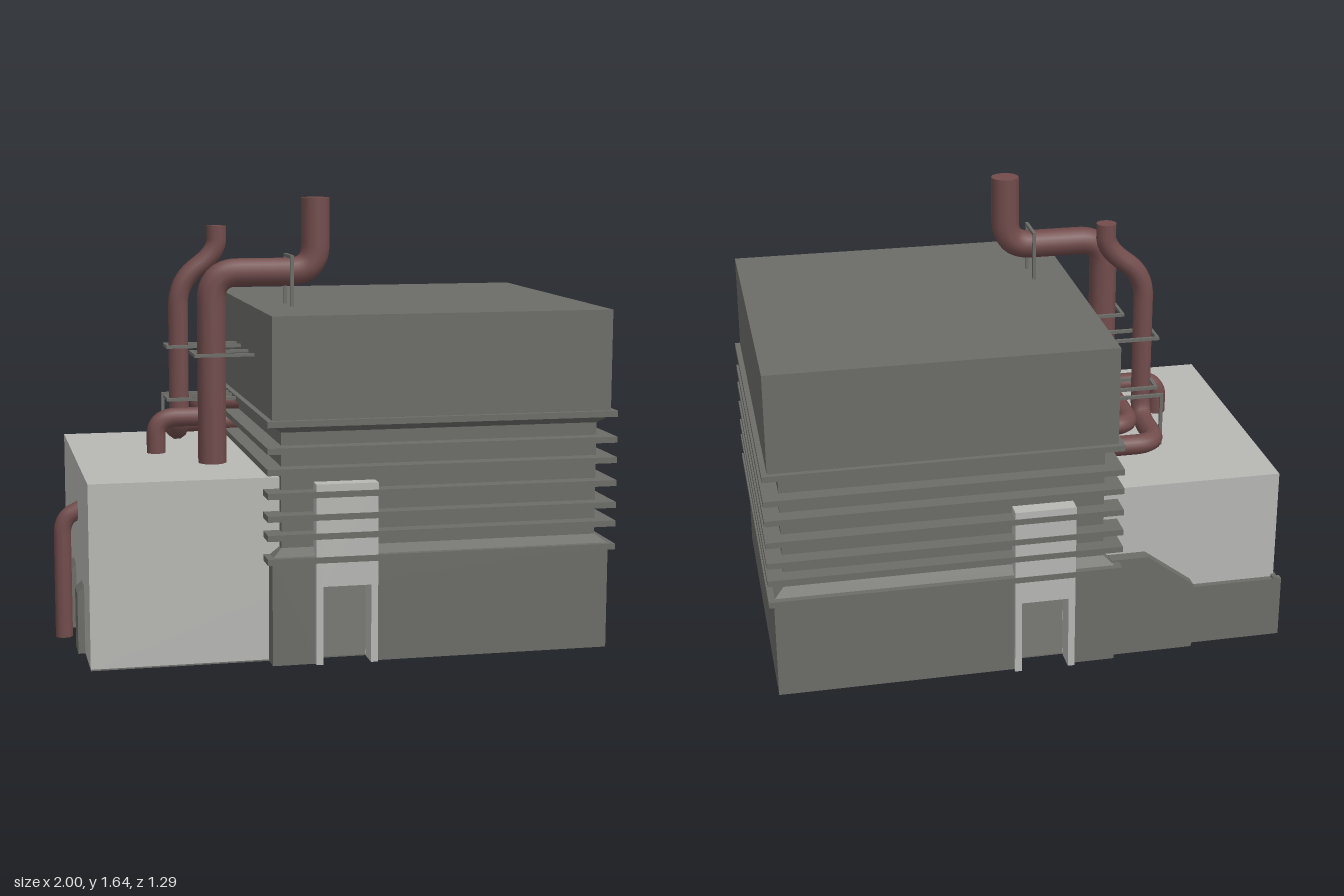
import * as THREE from 'three';
import { mergeGeometries } from 'three/addons/utils/BufferGeometryUtils.js';

const CX = 0.355;   // tower centre in x
const R = 0.625;    // tower half width

const flat = (g) => {
  const f = g.index ? g.toNonIndexed() : g;
  f.computeVertexNormals();
  return f;
};

// wall outline with a doorway cut up from the ground
function doorWall(x0, x1, h, d0, d1, dh) {
  return new THREE.Shape([
    [x0, 0], [d0, 0], [d0, dh], [d1, dh], [d1, 0], [x1, 0], [x1, h], [x0, h],
  ].map(([x, y]) => new THREE.Vector2(x, y)));
}

// pipe with rounded bends and closed ends
function pipeGeometry(points, r, bend) {
  const p = points.map((a) => new THREE.Vector3(...a));
  const path = new THREE.CurvePath();
  let last = p[0];
  for (let i = 1; i < p.length - 1; i++) {
    const cut = (q) => {
      const d = q.clone().sub(p[i]);
      return p[i].clone().addScaledVector(d.normalize(), Math.min(bend, p[i].distanceTo(q) * 0.48));
    };
    const a = cut(p[i - 1]), b = cut(p[i + 1]);
    path.add(new THREE.LineCurve3(last, a));
    path.add(new THREE.QuadraticBezierCurve3(a, p[i], b));
    last = b;
  }
  path.add(new THREE.LineCurve3(last, p[p.length - 1]));
  const cap = (pos, dir) => {
    const g = new THREE.CircleGeometry(r, 10);
    g.applyQuaternion(new THREE.Quaternion().setFromUnitVectors(new THREE.Vector3(0, 0, 1), dir));
    return g.translate(pos.x, pos.y, pos.z);
  };
  return mergeGeometries([
    new THREE.TubeGeometry(path, 72, r, 10, false),
    cap(p[0], path.getTangentAt(0).negate()),
    cap(p[p.length - 1], path.getTangentAt(1)),
  ]);
}

export function createModel() {
  const root = new THREE.Group();
  const mat = (name, color) => {
    const m = new THREE.MeshStandardMaterial({ color, side: THREE.DoubleSide });
    m.name = name;
    return m;
  };
  const dark = mat('dark concrete', 0x6c6c68);
  const light = mat('light concrete', 0xb7b7b4);
  const rust = mat('rusty pipe', 0x724c4c);

  const add = (name, geo, m, parent = root) => {
    const mesh = new THREE.Mesh(geo, m);
    mesh.name = name;
    parent.add(mesh);
    return mesh;
  };
  // box given by its extents
  const box = (name, x0, x1, y0, y1, z0, z1, m, parent) =>
    add(name, new THREE.BoxGeometry(x1 - x0, y1 - y0, z1 - z0)
      .translate((x0 + x1) / 2, (y0 + y1) / 2, (z0 + z1) / 2), m, parent);

  // floor and long low hall with doorways on both sides
  box('floor', -0.91, 0.91, 0, 0.005, -0.555, 0.555, dark);
  const hall = new THREE.Group();
  hall.name = 'hall';
  root.add(hall);
  for (const s of [1, -1]) {
    const wall = new THREE.ShapeGeometry(doorWall(-0.91, 0.91, 0.67, -0.09, 0.085, 0.285));
    add('hallLongWall', wall, light, hall).position.z = 0.553 * s;
    add('hallEndWall', new THREE.PlaneGeometry(1.106, 0.67).rotateY(Math.PI / 2 * s)
      .translate(0.91 * s, 0.335, 0), light, hall);
  }
  add('hallRoof', new THREE.PlaneGeometry(1.82, 1.106).rotateX(-Math.PI / 2).translate(0, 0.67, 0), light, hall);

  // tower: lower walls with doorways, then a waisted square upper part
  const tower = new THREE.Group();
  tower.name = 'tower';
  root.add(tower);
  for (const s of [1, -1]) {
    const wall = new THREE.ShapeGeometry(doorWall(CX - R, CX + R, 0.39, -0.1, 0.095, 0.295));
    add('towerLowerWall', wall, dark, tower).position.z = R * s;
    add('towerSideWall', new THREE.PlaneGeometry(2 * R, 0.39).rotateY(Math.PI / 2 * s)
      .translate(CX + R * s, 0.195, 0), dark, tower);
  }
  const profile = [[R, 0.39], [0.586, 0.42], [0.586, 0.835], [R, 0.865], [R, 1.25], [0, 1.25]]
    .map(([r, y]) => new THREE.Vector2(r * Math.SQRT2, y));
  add('towerUpper', flat(new THREE.LatheGeometry(profile, 4, Math.PI / 4)).translate(CX, 0, 0), dark, tower);

  // square rings around the waist
  const square = (h) => [[-h, -h], [h, -h], [h, h], [-h, h]].map(([x, y]) => new THREE.Vector2(x, y));
  const ring = new THREE.Shape(square(0.645));
  ring.holes.push(new THREE.Path(square(0.575).reverse()));
  for (const y of [0.382, 0.468, 0.537, 0.618, 0.703, 0.778, 0.873]) {
    const g = new THREE.ExtrudeGeometry(ring, { depth: 0.022, bevelEnabled: false });
    add('waistRing', g.rotateX(-Math.PI / 2).translate(CX, y - 0.011, 0), dark, tower);
  }

  // tall door surrounds, front and back
  for (const z of [0.555, -0.643]) {
    const g = new THREE.ExtrudeGeometry(doorWall(-0.115, 0.11, 0.655, -0.09, 0.085, 0.285),
      { depth: 0.088, bevelEnabled: false });
    add('doorSurround', g.translate(0, 0, z), light);
  }

  // low buttresses on the hall end, with bevelled tops
  const buttressShape = new THREE.Shape([[0.9, 0], [0.935, 0], [0.935, 0.225], [0.91, 0.25], [0.9, 0.25]]
    .map(([x, y]) => new THREE.Vector2(x, y)));
  for (const [z0, z1] of [[-0.575, -0.42], [-0.16, -0.04], [0.22, 0.325]]) {
    const g = new THREE.ExtrudeGeometry(buttressShape, { depth: z1 - z0, bevelEnabled: false });
    add('buttress', g.rotateY(Math.PI).translate(0, 0, z1), dark);
  }
  // skirting and stepped panel along the back of the hall
  box('backSkirting', -0.935, -0.57, 0, 0.24, -0.575, -0.55, dark);
  const panel = new THREE.Shape([[-0.58, 0], [-0.26, 0], [-0.26, 0.4], [-0.4, 0.4], [-0.58, 0.265]]
    .map(([x, y]) => new THREE.Vector2(x, y)));
  add('backPanel', new THREE.ExtrudeGeometry(panel, { depth: 0.05, bevelEnabled: false })
    .translate(0, 0, -0.6), dark);

  // pipes
  add('largePipe', pipeGeometry([[-0.418, 0.67, 0.205], [-0.418, 1.373, 0.205],
    [-0.028, 1.373, 0.205], [-0.028, 1.645, 0.205]], 0.053, 0.1), rust);
  add('tallPipe', pipeGeometry([[-0.22, 0.738, -0.335], [-0.502, 0.738, -0.335], [-0.502, 0.738, -0.082],
    [-0.502, 1.32, -0.082], [-0.352, 1.43, -0.082], [-0.352, 1.53, -0.082]], 0.038, 0.09), rust);
  add('roofPipe', pipeGeometry([[-0.61, 0.69, 0.067], [-0.61, 0.822, 0.067], [-0.398, 0.822, 0.067],
    [-0.398, 0.822, -0.335], [-0.22, 0.822, -0.335]], 0.036, 0.08), rust);
  add('wallPipe', pipeGeometry([[-0.967, 0, 0.067], [-0.967, 0.45, 0.067], [-0.89, 0.49, 0.067]],
    0.033, 0.06), rust);

  // thin pipe supports
  const t = 0.012;
  const collar = (x, y, z0, z1) => {
    const g = new THREE.Group();
    g.name = 'pipeCollar';
    root.add(g);
    box('collarArm', x, -0.26, y, y + t, z0, z0 + t, dark, g);
    box('collarArm', x, -0.26, y, y + t, z1 - t, z1, dark, g);
    box('collarEnd', x, x + t, y, y + t, z0, z1, dark, g);
  };
  collar(-0.555, 1.07, -0.135, -0.025);
  collar(-0.492, 1.07, 0.138, 0.278);
  collar(-0.555, 0.868, -0.135, -0.025);
  box('supportPost', -0.555, -0.543, 0.67, 0.88, -0.211, -0.199, dark);
  box('supportBeam', -0.555, -0.26, 0.868, 0.88, -0.211, -0.199, dark);
  const roofFrame = new THREE.Group();
  roofFrame.name = 'roofPipeFrame';
  root.add(roofFrame);
  for (const z of [0.138, 0.266]) box('framePost', -0.135, -0.123, 1.25, 1.437, z, z + t, dark, roofFrame);
  box('frameBar', -0.135, -0.123, 1.425, 1.437, 0.138, 0.278, dark, roofFrame);

  return root;
}
